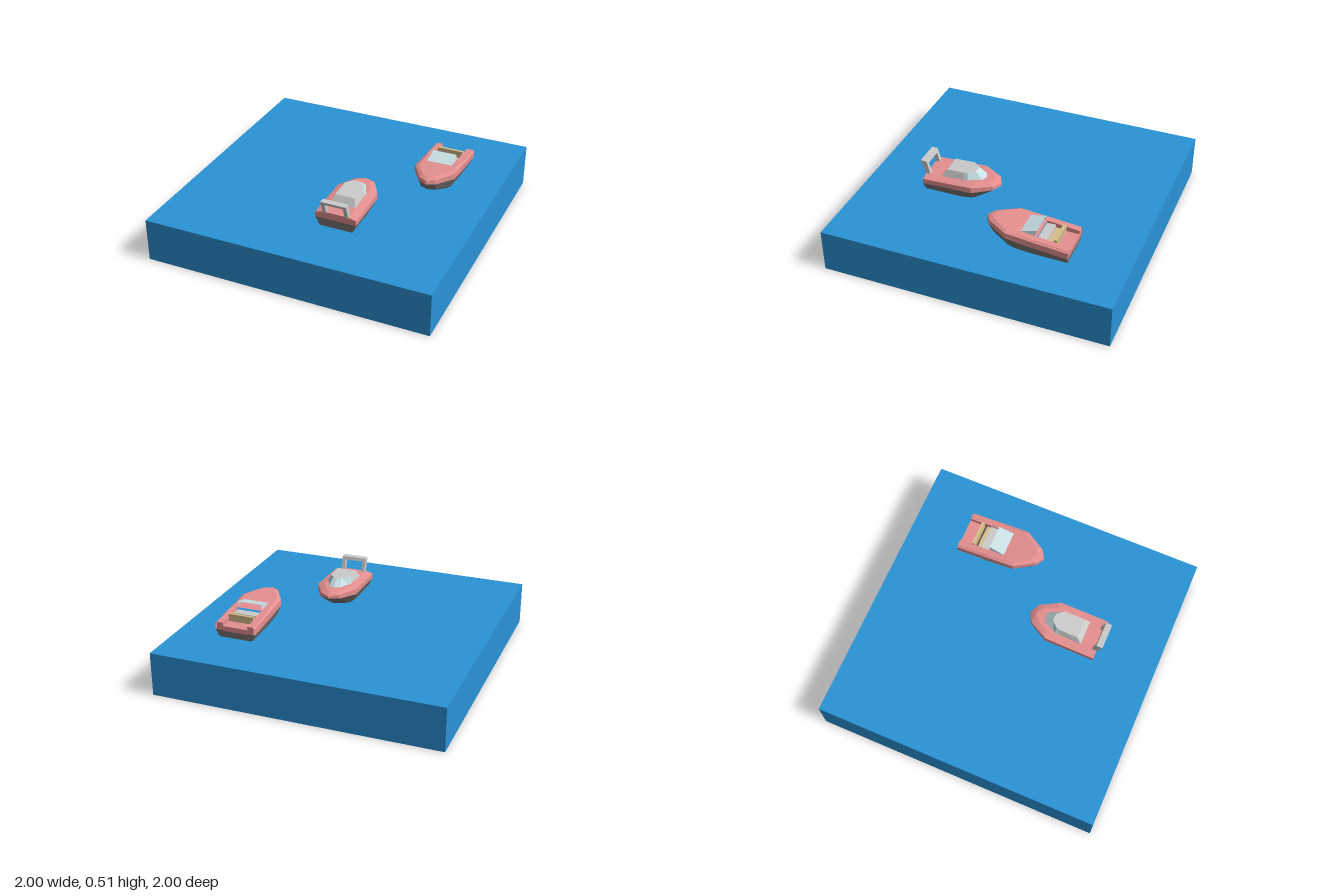
import * as THREE from 'three';

const mat = (color, side = THREE.FrontSide) =>
  new THREE.MeshStandardMaterial({ color, flatShading: true, side });
const M = {
  water: mat(0x2a93d6), hull: mat(0x7c7a78), red: mat(0xe58f8f, THREE.DoubleSide),
  grey: mat(0xcccccc), glass: mat(0xc8dfe4, THREE.DoubleSide), tan: mat(0xd8bf8a), dark: mat(0x5c5850),
};

function add(group, name, geometry, material) {
  const mesh = new THREE.Mesh(geometry, material);
  mesh.name = name;
  group.add(mesh);
  return mesh;
}

function box(group, name, material, x0, x1, y0, y1, z0, z1) {
  const g = new THREE.BoxGeometry(x1 - x0, y1 - y0, z1 - z0);
  g.translate((x0 + x1) / 2, (y0 + y1) / 2, (z0 + z1) / 2);
  return add(group, name, g, material);
}

function quads(list) {
  const pos = [];
  for (const [a, b, c, d] of list) pos.push(...a, ...b, ...c, ...a, ...c, ...d);
  const g = new THREE.BufferGeometry();
  g.setAttribute('position', new THREE.Float32BufferAttribute(pos, 3));
  g.computeVertexNormals();
  return g;
}

const flip = ([x, y, z]) => [-x, y, z];

// Mirrored skin between half outlines (stern to bow) stacked from low to high
function skin(levels, from = 0, to = levels[0].length - 1, stern = true) {
  const out = [];
  for (let k = 0; k < levels.length - 1; k++) {
    const lo = levels[k], hi = levels[k + 1];
    for (let i = from; i < to; i++) {
      out.push([lo[i], hi[i], hi[i + 1], lo[i + 1]]);
      out.push([lo[i], lo[i + 1], hi[i + 1], hi[i]].map(flip));
    }
    if (stern) out.push([lo[0], flip(lo[0]), flip(hi[0]), hi[0]]);
  }
  return quads(out);
}

// Upward surface spanning a half outline and its mirror
function cap(level, from = 0) {
  const out = [];
  for (let i = from; i < level.length - 1; i++)
    out.push([level[i], flip(level[i]), flip(level[i + 1]), level[i + 1]]);
  return quads(out);
}

// Side profile of (z, y) points, extruded from x0 to x1
function sideExtrude(points, x0, x1) {
  const shape = new THREE.Shape(points.map(([z, y]) => new THREE.Vector2(z, y)));
  const g = new THREE.ExtrudeGeometry(shape, { depth: x1 - x0, bevelEnabled: false });
  return g.rotateY(-Math.PI / 2).translate(x1, 0, 0);
}

function cabinBoat() {
  const boat = new THREE.Group();
  boat.name = 'cabinBoat';
  const keel = [[.105, .28, -.575], [.105, .28, -.35], [.09, .285, -.25], [.045, .3, -.2], [0, .31, -.165]];
  const rub = [[.145, .365, -.58], [.145, .37, -.4], [.145, .375, -.225], [.07, .385, -.09], [0, .39, -.055]];
  const rail = [[.145, .4, -.58], [.145, .407, -.4], [.143, .414, -.225], [.068, .411, -.092], [0, .405, -.058]];
  const deck = [[.09, .415, -.58], [.09, .42, -.4], [.09, .43, -.22], [.045, .43, -.13], [0, .43, -.1]];
  add(boat, 'lowerHull', skin([keel, rub]), M.hull);
  add(boat, 'gunwale', skin([rub, rail, deck]), M.red);
  add(boat, 'deck', cap(deck), M.red);

  // Cabin with a pointed glazed front
  const base = [[.09, .41, -.47], [.09, .41, -.305], [.09, .415, -.27], [.043, .425, -.175], [0, .43, -.165]];
  const roof = [[.07, .47, -.43], [.07, .475, -.305], [.068, .477, -.28], [.03, .48, -.237], [0, .48, -.23]];
  add(boat, 'cabinWalls', skin([base, roof], 0, 1), M.grey);
  add(boat, 'cabinWindshield', skin([base, roof], 1, 4, false), M.glass);
  add(boat, 'cabinRoof', cap(roof), M.grey);

  // Raked stern arch
  const post = [[-.545, .405], [-.58, .405], [-.618, .51], [-.575, .51]];
  const beam = [[-.568, .488], [-.61, .488], [-.618, .51], [-.575, .51]];
  add(boat, 'archPostLeft', sideExtrude(post, .065, .09), M.grey);
  add(boat, 'archPostRight', sideExtrude(post, -.09, -.065), M.grey);
  add(boat, 'archBeam', sideExtrude(beam, -.09, .09), M.grey);
  boat.rotation.y = Math.PI;
  boat.position.x = .18;
  return boat;
}

function openBoat() {
  const boat = new THREE.Group();
  boat.name = 'openBoat';
  const keel = [[.1, .28, -.605], [.1, .28, -.39], [.09, .285, -.25], [.05, .295, -.19], [0, .3, -.15]];
  const chine = [[.125, .315, -.607], [.125, .32, -.39], [.12, .335, -.2], [.055, .355, -.075], [0, .365, -.04]];
  const rub = [[.145, .355, -.61], [.145, .375, -.39], [.145, .4, -.185], [.06, .415, -.04], [0, .42, -.005]];
  const rail = [[.145, .4, -.61], [.145, .42, -.39], [.143, .44, -.185], [.058, .443, -.045], [0, .443, -.012]];
  const deck = [[.13, .41, -.61], [.13, .432, -.39], [.12, .45, -.19], [.05, .457, -.08], [0, .455, -.045]];
  add(boat, 'lowerHull', skin([keel, chine, rub]), M.hull);
  add(boat, 'gunwale', skin([rub, rail, deck], 0, 4, false), M.red);
  add(boat, 'foredeck', cap(deck, 1), M.red);

  // Side decks around the cockpit
  const side = [[-.61, .355], [-.61, .41], [-.39, .432], [-.39, .355]];
  add(boat, 'sideDeckLeft', sideExtrude(side, .09, .142 - .008), M.red);
  add(boat, 'sideDeckRight', sideExtrude(side, -.134, -.09), M.red);

  // Cockpit interior
  box(boat, 'sternPlatform', M.red, -.09, .09, .35, .385, -.61, -.52);
  box(boat, 'cockpitFloor', M.dark, -.09, .09, .34, .36, -.52, -.39);
  box(boat, 'dashboard', M.grey, -.09, .09, .35, .415, -.45, -.388);
  box(boat, 'seatBack', M.tan, -.09, .09, .36, .437, -.52, -.5);
  box(boat, 'seatCushion', M.tan, -.09, .09, .36, .395, -.48, -.45);

  // Raked windshield with side panes
  const front = [.09, .445, -.275], top = [.085, .474, -.385], heel = [.09, .43, -.37];
  add(boat, 'windshield', quads([
    [front, top, flip(top), flip(front)],
    [front, heel, top, top],
    [front, top, heel, heel].map(flip),
  ]), M.glass);
  boat.position.x = .575;
  return boat;
}

export function createModel() {
  const model = new THREE.Group();
  model.name = 'boatsOnWater';
  box(model, 'waterBlock', M.water, -1, 1, 0, .305, -1, 1);
  model.add(cabinBoat(), openBoat());
  return model;
}
